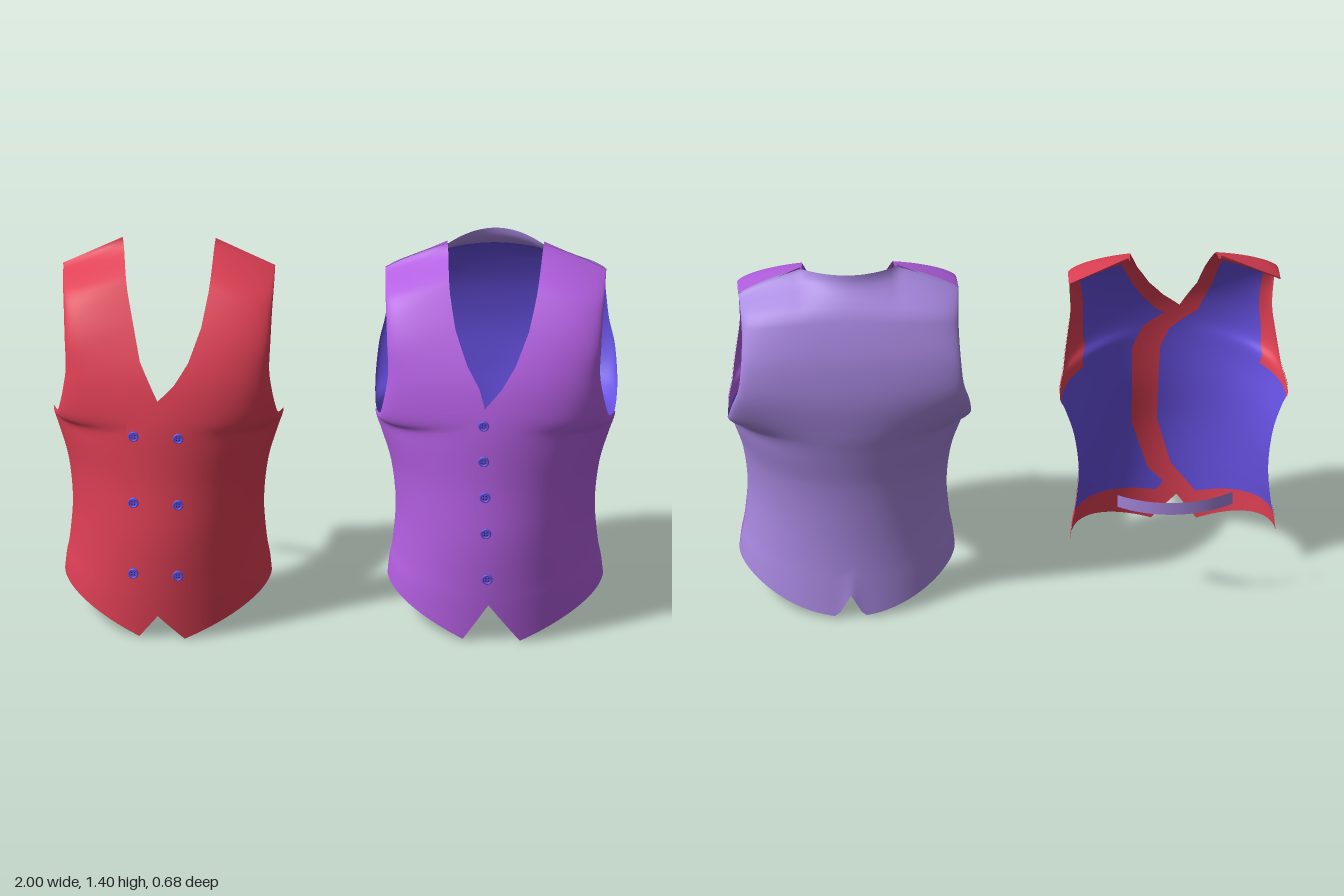
import * as THREE from 'three';

const RED = 0xe04055, PURPLE = 0xb45fe2, LAVENDER = 0xa888e0, BLUE = 0x6650e0;
const ROWS = 14, SUB = 4, COLS = 32;
const mat = (color, side = THREE.FrontSide) => new THREE.MeshStandardMaterial({ color, side });
const lerp = THREE.MathUtils.lerp, smooth = THREE.MathUtils.smoothstep;

// smooth lookup through [key, value] pairs
function lookup(t, k) {
  let i = 0;
  while (i < t.length - 2 && k > t[i + 1][0]) i++;
  const slope = (j) => {
    const a = t[Math.max(j - 1, 0)], b = t[Math.min(j + 1, t.length - 1)];
    return (b[1] - a[1]) / (b[0] - a[0]);
  };
  const [x0, y0] = t[i], [x1, y1] = t[i + 1], h = x1 - x0;
  const u = THREE.MathUtils.clamp((k - x0) / h, 0, 1), w = 1 - u;
  return y0 * w * w * (1 + 2 * u) + slope(i) * h * u * w * w + y1 * u * u * (3 - 2 * u) - slope(i + 1) * h * u * u * w;
}

// depth of chest and back by height
const CHEST = [[0, .31], [.2, .325], [.4, .33], [.6, .315], [.8, .305], [.9, .29], [1, .262], [1.1, .215], [1.2, .15], [1.3, .06], [1.36, -.03], [1.4, -.11]];
const SPINE = [[0, -.28], [.1, -.27], [.25, -.257], [.4, -.255], [.55, -.263], [.7, -.29], [.8, -.31], [.95, -.326], [1.1, -.315], [1.2, -.29], [1.3, -.25], [1.405, -.18]];

// side seam, armhole edge and shoulder end: x, y, z
const SEAM = [[.382, .135, 0], [.375, .2, 0], [.363, .27, 0], [.353, .42, 0], [.37, .58, -.01], [.405, .7, -.02], [.425, .757, -.03]];
const FRONT_EDGE = [...SEAM, [.408, .79, .07], [.398, .84, .12], [.385, .92, .152], [.376, 1, .16], [.38, 1.1, .145], [.385, 1.2, .09], [.39, 1.26, .01], [.392, 1.288, -.09]];
const BACK_EDGE = [...SEAM, [.432, .79, -.13], [.43, .84, -.2], [.42, .92, -.255], [.4, 1, -.28], [.39, 1.1, -.27], [.385, 1.2, -.22], [.388, 1.26, -.16], [.392, 1.288, -.09]];
const BACK_Y = [.015, .1, .2, .4, .55, .65, .75, .82, .88, .95, 1.02, 1.13, 1.24, 1.33, 1.405];

// front opening from hem tip to neck point: x, y (x below 0 crosses the centre)
const NECK = [[.03, .985], [.078, 1.06], [.125, 1.17], [.15, 1.27], [.162, 1.335], [.172, 1.392]];
const SINGLE_OVER = [[.095, .012], [-.015, .16], [-.065, .23], [-.065, .42], [-.065, .6], [-.065, .75], [-.065, .85], [-.06, .9], [-.03, .917], ...NECK];
const SINGLE_UNDER = [[.108, .012], [.015, .16], [-.03, .23], [-.03, .42], [-.03, .6], [-.03, .75], [-.02, .85], [0, .89], [.03, .917], ...NECK.map(([x, y], i) => [x + .02 * (1 - i / 5), y])];
const DOUBLE_OVER = [[.068, .008], [-.03, .1], [-.15, .22], [-.15, .42], [-.15, .6], [-.15, .75], [-.148, .83], [-.13, .885], [-.035, .93], [.025, .985], ...NECK.slice(1)];
const DOUBLE_UNDER = [[.1, .01], [.03, .1], [-.08, .22], [-.14, .42], [-.14, .6], [-.14, .75], [-.1, .84], [-.03, .89], [.035, .93], [.065, .99], [.1, 1.06], ...NECK.slice(2)];

const edgeCurve = (pts) => {
  const c = new THREE.CatmullRomCurve3(pts.map((p) => new THREE.Vector3(...p)), false, 'catmullrom', 0.5);
  return (k) => c.getPoint(k / ROWS);
};
const frontEdge = edgeCurve(FRONT_EDGE), backEdge = edgeCurve(BACK_EDGE);
const dome = (u) => Math.sqrt(Math.max(0, 1 - u * u));
const shoulderZ = (x) => -.095 - .085 * (1 - Math.min(1, x / .172) ** 2);

// half front: a runs 0..1 from opening to side, k from hem to shoulder
function frontPoint(opening, lift, a, k) {
  const o = frontEdge(k), i = Math.min(Math.floor(k), ROWS - 1), f = k - i;
  const s = Math.sin(a * Math.PI / 2);
  const x = lerp(lerp(opening[i][0], opening[i + 1][0], f), o.x, s);
  const y = lerp(lerp(opening[i][1], opening[i + 1][1], f), o.y, s);
  const d = dome(x / o.x);
  const z = o.z + (lookup(CHEST, y) + lift - o.z) * d;
  return [x, y, lerp(z, -.095, smooth(k, 12.5, 14))];
}

// whole back: a runs -1..1 from one side to the other
function backPoint(a, k) {
  const o = backEdge(k), i = Math.min(Math.floor(k), ROWS - 1);
  const s = Math.sin(a * Math.PI / 2), x = Math.abs(o.x * s);
  let y = lerp(lerp(BACK_Y[i], BACK_Y[i + 1], k - i), o.y, s * s);
  const z = o.z + (lookup(SPINE, y) - o.z) * dome(s);
  y += .09 * Math.max(0, 1 - x / .047) * Math.max(0, 1 - k / 2); // hem notch
  return [-o.x * s, y, lerp(z, shoulderZ(x), smooth(k, 12.5, 14))];
}

// cloth sheet: outer fabric, plus an inner skin split into facing and lining
function cloth(name, point, cols, a0, color, isFacing, flip = false) {
  const rows = ROWS * SUB, pos = [], outer = [], facing = [], lining = [];
  const n = cols + 1;
  for (let r = 0; r <= rows; r++)
    for (let c = 0; c <= cols; c++) pos.push(...point(lerp(a0, 1, c / cols), r / SUB));
  for (let r = 0; r < rows; r++)
    for (let c = 0; c < cols; c++) {
      const p = r * n + c, q = [p, p + 1, p + n + 1, p, p + n + 1, p + n];
      const back = [...q].reverse();
      outer.push(...(flip ? back : q));
      const inside = isFacing(lerp(a0, 1, (c + .5) / cols), (r + .5) / SUB) ? facing : lining;
      inside.push(...(flip ? q : back));
    }
  const skin = new THREE.BufferGeometry();
  skin.setAttribute('position', new THREE.Float32BufferAttribute(pos, 3));
  skin.setIndex(outer);
  skin.computeVertexNormals();
  const nor = skin.attributes.normal.array;
  const shape = (index) => {
    const g = new THREE.BufferGeometry();
    g.setAttribute('position', new THREE.Float32BufferAttribute(pos.map((v, i) => v - nor[i] * .003), 3));
    g.setAttribute('normal', new THREE.Float32BufferAttribute(Array.from(nor, (v) => -v), 3));
    g.setIndex(index);
    return g;
  };
  const group = new THREE.Group();
  group.name = name;
  const add = (part, g, col) => {
    const m = new THREE.Mesh(g, mat(col));
    m.name = name + part;
    group.add(m);
  };
  add('Fabric', skin, color);
  add('Facing', shape(facing), color);
  add('Lining', shape(lining), BLUE);
  return group;
}

const frontFacing = (a, k) => a < .14 || k < .9 || k > 13.3 || (k > 5.6 && a > .64);
const backFacing = (a, k) => k < .9 || k > 13;

function fronts(group, over, under, color) {
  group.add(cloth('leftFront', (a, k) => frontPoint(over, .008, a, k), COLS, 0, color, frontFacing));
  group.add(cloth('rightFront', (a, k) => {
    const [x, y, z] = frontPoint(under, 0, a, k);
    return [-x, y, z];
  }, COLS, 0, color, frontFacing, true));
}

// round button with raised rim and four holes
function button(x, y) {
  const g = new THREE.Group();
  g.name = 'button';
  const disc = new THREE.Mesh(new THREE.CylinderGeometry(.018, .018, .008, 20).rotateX(Math.PI / 2), mat(BLUE));
  const rim = new THREE.Mesh(new THREE.TorusGeometry(.016, .004, 8, 20), mat(BLUE));
  rim.position.z = .004;
  disc.name = 'buttonDisc';
  rim.name = 'buttonRim';
  g.add(disc, rim);
  for (const [i, j] of [[1, 1], [1, -1], [-1, 1], [-1, -1]]) {
    const hole = new THREE.Mesh(new THREE.CircleGeometry(.0025, 8), mat(0x2a2070));
    hole.name = 'buttonHole';
    hole.position.set(i * .005, j * .005, .0045);
    g.add(hole);
  }
  g.position.set(x, y, (lookup(CHEST, y) + .008) * dome(x / .38) + .006);
  g.rotation.y = x * .9;
  return g;
}

export function createModel() {
  const model = new THREE.Group();
  model.name = 'waistcoats';

  // single-breasted waistcoat with full back
  const full = new THREE.Group();
  full.name = 'singleBreastedWaistcoat';
  fronts(full, SINGLE_OVER, SINGLE_UNDER, PURPLE);
  full.add(cloth('back', backPoint, COLS * 2, -1, LAVENDER, backFacing));
  for (const [x, y] of [[-.033, .86], [-.033, .725], [-.028, .587], [-.025, .45], [-.02, .27]]) full.add(button(x, y));
  full.position.x = .567;
  model.add(full);

  // double-breasted waistcoat, fronts only
  const open = new THREE.Group();
  open.name = 'doubleBreastedWaistcoat';
  fronts(open, DOUBLE_OVER, DOUBLE_UNDER, RED);
  for (const y of [.8, .545, .27]) open.add(button(-.122, y), button(.043, y));

  // back strap
  const arc = new THREE.CylinderGeometry(.4, .4, .05, 24, 1, true, Math.PI - .56, 1.12);
  const strap = new THREE.Mesh(arc, mat(LAVENDER, THREE.DoubleSide));
  strap.name = 'backStrap';
  strap.position.set(.005, .43, .13);
  open.add(strap);
  open.position.x = -.592;
  open.scale.x = .96;
  model.add(open);
  return model;
}
